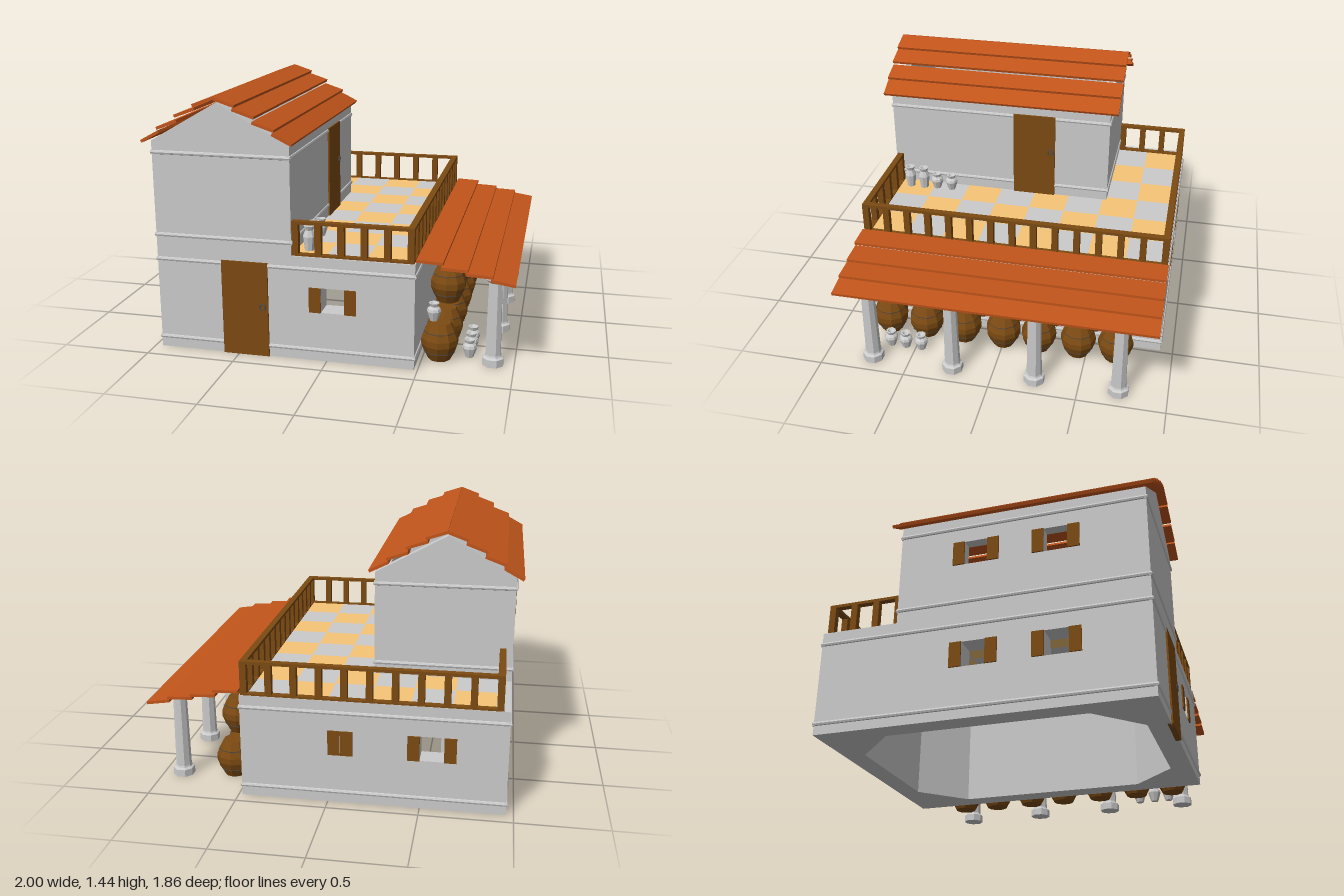
import * as THREE from 'three';

const mat = (color) => new THREE.MeshStandardMaterial({ color, flatShading: true });
const stone = mat(0xcccccc);
const wood = mat(0x7c4a12);
const clay = mat(0xc2551b);
const sand = mat(0xf8c677);
const iron = mat(0x4a4a4a);

export function createModel() {
  const model = new THREE.Group();

  const add = (name, geometry, material, x = 0, y = 0, z = 0) => {
    const mesh = new THREE.Mesh(geometry, material);
    mesh.name = name;
    mesh.position.set(x, y, z);
    model.add(mesh);
    return mesh;
  };
  // box given by its min and max corners
  const block = (name, m, x0, x1, y0, y1, z0, z1) =>
    add(name, new THREE.BoxGeometry(x1 - x0, y1 - y0, z1 - z0), m,
      (x0 + x1) / 2, (y0 + y1) / 2, (z0 + z1) / 2);

  const L = -0.96, R = 0.48, F = 0.885, B = -0.925, T = 0.12; // lower block
  const TR = -0.19, TB = -0.49, TT = 0.06, FLOOR = 0.59;      // upper room
  const WIN = 0.13, WINH = 0.14;

  // flat wall outline [u, y] with window holes [centre u, bottom y]
  const wallGeometry = (points, windows, depth) => {
    const shape = new THREE.Shape(points.map(([u, y]) => new THREE.Vector2(u, y)));
    for (const [u, y] of windows) {
      const h = WIN / 2;
      shape.holes.push(new THREE.Path([[u - h, y], [u - h, y + WINH], [u + h, y + WINH], [u + h, y]]
        .map(([a, b]) => new THREE.Vector2(a, b))));
    }
    return new THREE.ExtrudeGeometry(shape, { depth, bevelEnabled: false });
  };
  const rect = (u0, u1, y0, y1) => [[u0, y0], [u1, y0], [u1, y1], [u0, y1]];
  const wallZ = (name, points, windows, t, z) => add(name, wallGeometry(points, windows, t), stone, 0, 0, z);
  const wallX = (name, points, windows, t, x) => {
    add(name, wallGeometry(points, windows, t), stone, x, 0, 0).rotation.y = -Math.PI / 2;
  };

  // lower walls
  const frontWin = [[0.035, 0.28]], backWin = [[-0.56, 0.28]];
  const lowWins = [[-0.05, 0.285], [0.395, 0.285]], highWins = [[-0.05, 0.89], [0.395, 0.89]];
  wallZ('frontWall', rect(L, R, 0, FLOOR), frontWin, T, F - T);
  wallZ('backWall', rect(L, R, 0, FLOOR), backWin, T, B);
  wallX('leftSideWall', rect(B + T, F - T, 0, FLOOR), lowWins, T, L + T);
  wallX('porchWall', rect(B + T, F - T, 0, FLOOR), [], T, R);
  // angled fillings in the inner corners
  for (const [x, dx] of [[L + T, 0.24], [R - T, -0.24]]) {
    for (const [z, dz] of [[F - T, -0.24], [B + T, 0.24]]) {
      const tri = new THREE.Shape([[x, -z], [x + dx, -z], [x, -z - dz]].map(([a, b]) => new THREE.Vector2(a, b)));
      add('innerCorner', new THREE.ExtrudeGeometry(tri, { depth: FLOOR - 0.002, bevelEnabled: false }), stone)
        .rotation.x = -Math.PI / 2;
    }
  }

  // upper room with gables
  const gable = [[L, FLOOR], [TR, FLOOR], [TR, 1.185], [-0.585, 1.4], [L, 1.185]];
  wallZ('frontGable', gable, [], TT, F - TT);
  wallZ('backGable', gable, [], TT, TB);
  wallX('upperLeftWall', rect(TB + TT, F - TT, FLOOR, 1.185), highWins, TT, L + TT);
  wallX('upperRightWall', rect(TB + TT, F - TT, FLOOR, 1.185), [], TT, TR);

  // rounded string courses
  const band = (y, x0, x1, z0, z1) => {
    const bar = (len, x, z, alongX) => {
      const g = new THREE.CylinderGeometry(0.013, 0.013, len, 8);
      if (alongX) g.rotateZ(Math.PI / 2); else g.rotateX(Math.PI / 2);
      add('moulding', g, stone, x, y, z);
    };
    for (const z of [z0, z1]) bar(x1 - x0 + 0.01, (x0 + x1) / 2, z + Math.sign(z) * -0.004, true);
    for (const x of [x0, x1]) bar(z1 - z0 + 0.01, x + (x === x0 ? 0.004 : -0.004), (z0 + z1) / 2, false);
  };
  for (const y of [0.062, 0.522]) band(y, L, R, B, F);
  for (const y of [0.662, 1.122]) band(y, L, TR, TB, F);

  // chequered floor
  for (let i = 0; i < 6; i++) {
    for (let j = 0; j < 8; j++) {
      const x = -0.885 + i * 0.2205, z = -0.9 + j * 0.2175;
      block('floorTile', (i + j) % 2 ? stone : sand, x, x + 0.2205, 0.578, 0.595, z, z + 0.2175);
    }
  }

  // shutters
  const S = 0.065, P = 0.008;
  for (const side of [-1, 1]) {
    const near = side * WIN / 2, far = near + side * S;
    const lo = Math.min(near, far), hi = Math.max(near, far);
    for (const [u, y] of frontWin) block('shutter', wood, u + lo, u + hi, y, y + WINH, F, F + P);
    for (const [u, y] of backWin) block('shutter', wood, u + lo, u + hi, y, y + WINH, B - P, B);
    for (const [u, y] of [...lowWins, ...highWins]) block('shutter', wood, L - P, L, y, y + WINH, u + lo, u + hi);
  }
  block('closedShutter', wood, -0.137, -0.07, 0.28, 0.42, B - P, B);
  block('closedShutter', wood, -0.068, -0.002, 0.28, 0.42, B - P, B);

  // doors with ring handles
  const ring = new THREE.TorusGeometry(0.016, 0.004, 6, 12);
  block('frontDoor', wood, -0.587, -0.325, 0, 0.54, F - 0.02, F + 0.01);
  add('doorRing', ring, iron, -0.355, 0.288, F + 0.013);
  block('terraceDoor', wood, TR - 0.02, TR + 0.01, FLOOR, 1.137, -0.155, 0.107);
  add('doorRing', ring, iron, TR + 0.013, 0.9, -0.128).rotation.y = Math.PI / 2;

  // terrace railing: top rail, sill and posts along each run
  const railing = (x0, z0, x1, z1, n) => {
    const w = 0.018;
    const bar = (y0, y1) => block('rail', wood, Math.min(x0, x1) - w, Math.max(x0, x1) + w, y0, y1,
      Math.min(z0, z1) - w, Math.max(z0, z1) + w);
    bar(0.765, 0.782);
    bar(0.585, 0.6);
    for (let i = 0; i <= n; i++) {
      const x = x0 + (x1 - x0) * i / n, z = z0 + (z1 - z0) * i / n;
      block('railPost', wood, x - w, x + w, 0.595, 0.768, z - w, z + w);
    }
  };
  railing(0.455, 0.857, -0.172, 0.857, 5);
  railing(0.455, 0.857, 0.455, -0.905, 14);
  railing(0.455, -0.905, -0.905, -0.905, 10);
  railing(-0.905, -0.905, -0.905, -0.51, 3);

  // overlapping roof tiles running down from (xa, ya) to (xb, yb)
  const tiledSlope = (name, xa, ya, xb, yb, z0, z1, seed) => {
    const rows = 4, thick = 0.016, lift = 0.02;
    const dir = Math.sign(xb - xa);
    for (let r = 0; r < rows; r++) {
      const sx = xa + (xb - xa) * r / rows, sy = ya + (yb - ya) * r / rows;
      const ex = xa + (xb - xa) * (r + 1) / rows + (r < rows - 1 ? dir * 0.012 : 0);
      const ey = ya + (yb - ya) * (r + 1) / rows + (r < rows - 1 ? lift : 0.006);
      const len = Math.hypot(ex - sx, ey - sy);
      let z = z0, k = 0;
      while (z < z1 - 0.001) {
        const step = 0.15 + 0.13 * (((k * 5 + r * 3 + seed) % 7) / 6);
        const end = z1 - z - step < 0.1 ? z1 : z + step;
        const wobble = ((k * 3 + r + seed) % 3) * 0.003;
        const tile = add(name, new THREE.BoxGeometry(len, thick, end - z), clay,
          (sx + ex) / 2, (sy + ey) / 2 - thick / 2 + wobble, (z + end) / 2);
        tile.rotation.z = Math.atan2((ey - sy) * dir, (ex - sx) * dir);
        z = end;
        k++;
      }
    }
  };
  tiledSlope('roofTile', -0.583, 1.435, -0.997, 1.185, -0.54, 0.93, 1);
  tiledSlope('roofTile', -0.587, 1.435, -0.163, 1.2, -0.54, 0.93, 4);
  tiledSlope('porchTile', 0.483, 0.612, 0.998, 0.508, -0.93, 0.88, 2);

  // porch columns
  const column = new THREE.LatheGeometry([[0, 0], [0.061, 0], [0.061, 0.042], [0.048, 0.05], [0.044, 0.06],
    [0.038, 0.47], [0.052, 0.485], [0.052, 0.515], [0, 0.515]].map(([r, y]) => new THREE.Vector2(r, y)), 8, Math.PI / 8);
  for (const z of [0.715, 0.235, -0.245, -0.725]) add('column', column, stone, 0.885, 0, z);

  // barrels
  const barrelProfile = [[0, 0], [0.062, 0], [0.088, 0.05], [0.103, 0.09], [0.103, 0.125], [0.088, 0.165], [0.062, 0.213], [0, 0.213]];
  const barrel = new THREE.LatheGeometry(barrelProfile.map(([r, y]) => new THREE.Vector2(r, y)), 10);
  const hoop = new THREE.CylinderGeometry(0.09, 0.09, 0.005, 10, 1, true);
  const addBarrel = (y, z) => {
    add('barrel', barrel, wood, 0.592, y, z);
    for (const h of [0.05, 0.165]) add('barrelHoop', hoop, iron, 0.592, y + h, z);
  };
  for (const z of [0.7, 0.475, 0.24, 0, -0.215, -0.45, -0.67]) addBarrel(0, z);
  for (const z of [0.375, 0.125, -0.09, -0.31, -0.54]) addBarrel(0.215, z);

  // clay jars, short and tall
  const jar = (pts) => {
    const g = new THREE.LatheGeometry(pts.map(([r, y]) => new THREE.Vector2(r, y)), 8);
    return g;
  };
  const shortJar = jar([[0, 0], [0.022, 0], [0.04, 0.055], [0.036, 0.07], [0.022, 0.082], [0.03, 0.102], [0.02, 0.102], [0, 0.08]]);
  const tallJar = jar([[0, 0], [0.026, 0], [0.036, 0.08], [0.022, 0.115], [0.031, 0.138], [0.02, 0.138], [0, 0.11]]);
  for (const z of [0.65, 0.56, 0.465]) add('shortJar', shortJar, stone, 0.752, 0, z);
  add('shortJar', shortJar, stone, 0.555, 0.213, 0.69);
  for (const z of [0.6, 0.505]) add('shortJar', shortJar, stone, -0.128, 0.594, z);
  for (const z of [0.775, 0.685]) add('tallJar', tallJar, stone, -0.12, 0.594, z);

  return model;
}
